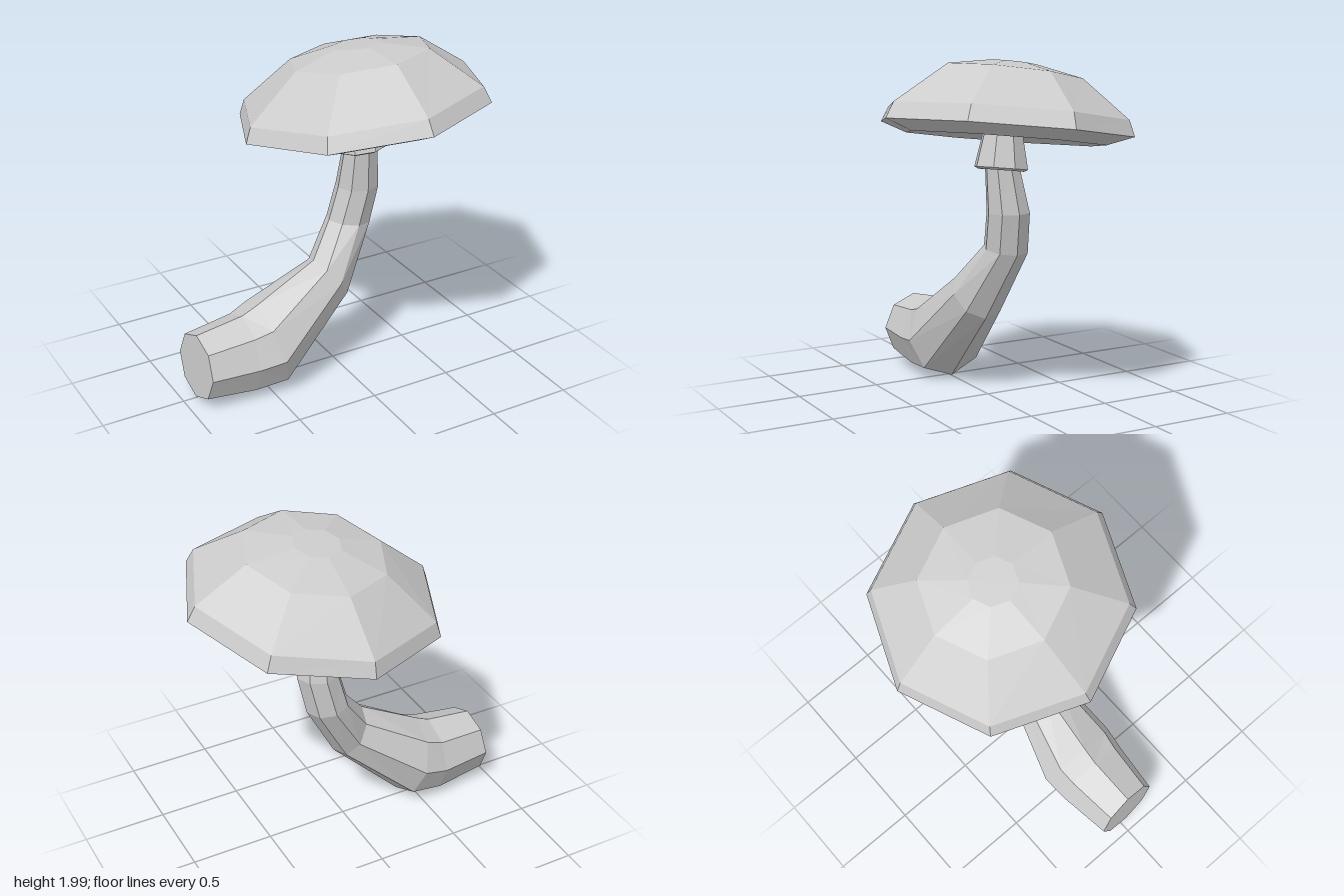
import * as THREE from 'three';

const SIDES = 8;

// Each ring: [centre], radius, u direction, v direction; rings are joined in order.
function loft(rings, capStart, capEnd) {
  const pos = [];
  const point = ([c, r, u, v], j) => {
    const a = (j / SIDES) * Math.PI * 2;
    return c.map((k, n) => k + r * (u[n] * Math.cos(a) + v[n] * Math.sin(a)));
  };
  const last = rings.length - 1;
  for (let j = 0; j < SIDES; j++) {
    for (let i = 0; i < last; i++) {
      const a = point(rings[i], j), b = point(rings[i], j + 1);
      const c = point(rings[i + 1], j), d = point(rings[i + 1], j + 1);
      pos.push(...a, ...c, ...b, ...b, ...c, ...d);
    }
    if (capStart) pos.push(...rings[0][0], ...point(rings[0], j), ...point(rings[0], j + 1));
    if (capEnd) pos.push(...rings[last][0], ...point(rings[last], j + 1), ...point(rings[last], j));
  }
  const geo = new THREE.BufferGeometry();
  geo.setAttribute('position', new THREE.Float32BufferAttribute(pos, 3));
  geo.computeVertexNormals();
  return geo;
}

// Near-level ring with a slope along x and z
const tilted = (x, y, z, r, sx = 0.087, sz = 0.132) => [[x, y, z], r, [1, sx, 0], [0, sz, 1]];

export function createModel() {
  const group = new THREE.Group();
  const grey = new THREE.MeshStandardMaterial({ color: 0xcccccc });
  grey.name = 'paleGrey';
  grey.flatShading = true;

  const add = (name, geo) => {
    const mesh = new THREE.Mesh(geo, grey);
    mesh.name = name;
    group.add(mesh);
  };

  // Bent stem, from the thick foot to the neck inside the cap
  add('stem', loft([
    [[-0.925, 0.24, 0.037], 0.203, [-0.05, -1, 0], [0.06, 0, 1]],
    [[-0.62, 0.243, 0.03], 0.24, [0, -1, 0], [0, 0, 1]],
    [[-0.465, 0.275, 0.032], 0.257, [0.25, -0.97, 0], [0, -0.05, 1]],
    [[-0.055, 0.603, 0.04], 0.16, [0.6, -0.8, 0], [0, 0.11, 1]],
    [[0.13, 0.9, -0.045], 0.131, [0.99, -0.15, 0], [0, 0.05, 1]],
    [[0.182, 1.125, -0.03], 0.128, [1, 0, 0], [0, 0, 1]],
    [[0.178, 1.41, 0.01], 0.1, [1, 0.05, 0], [0, 0.1, 1]],
    [[0.18, 1.66, 0], 0.09, [1, 0, 0], [0, 0, 1]],
  ], true, true));

  // Flared collar with a lip below
  add('collar', loft([
    tilted(0.18, 1.395, 0.012, 0.09),
    tilted(0.183, 1.37, 0.018, 0.135),
    tilted(0.183, 1.382, 0.018, 0.158),
    tilted(0.178, 1.66, 0, 0.1),
  ], false, true));

  // Faceted cap: hollow underside, rim, then dome
  add('cap', loft([
    tilted(0.18, 1.65, 0, 0.09),
    tilted(0.2, 1.55, 0.005, 0.585),
    tilted(0.195, 1.605, 0, 0.742),
    tilted(0.19, 1.695, -0.012, 0.703, 0.092, 0.136),
    tilted(0.195, 1.92, -0.045, 0.407, 0.08, 0.165),
    tilted(0.185, 1.977, -0.055, 0.137, 0.06, 0.15),
  ], true, true));

  return group;
}
